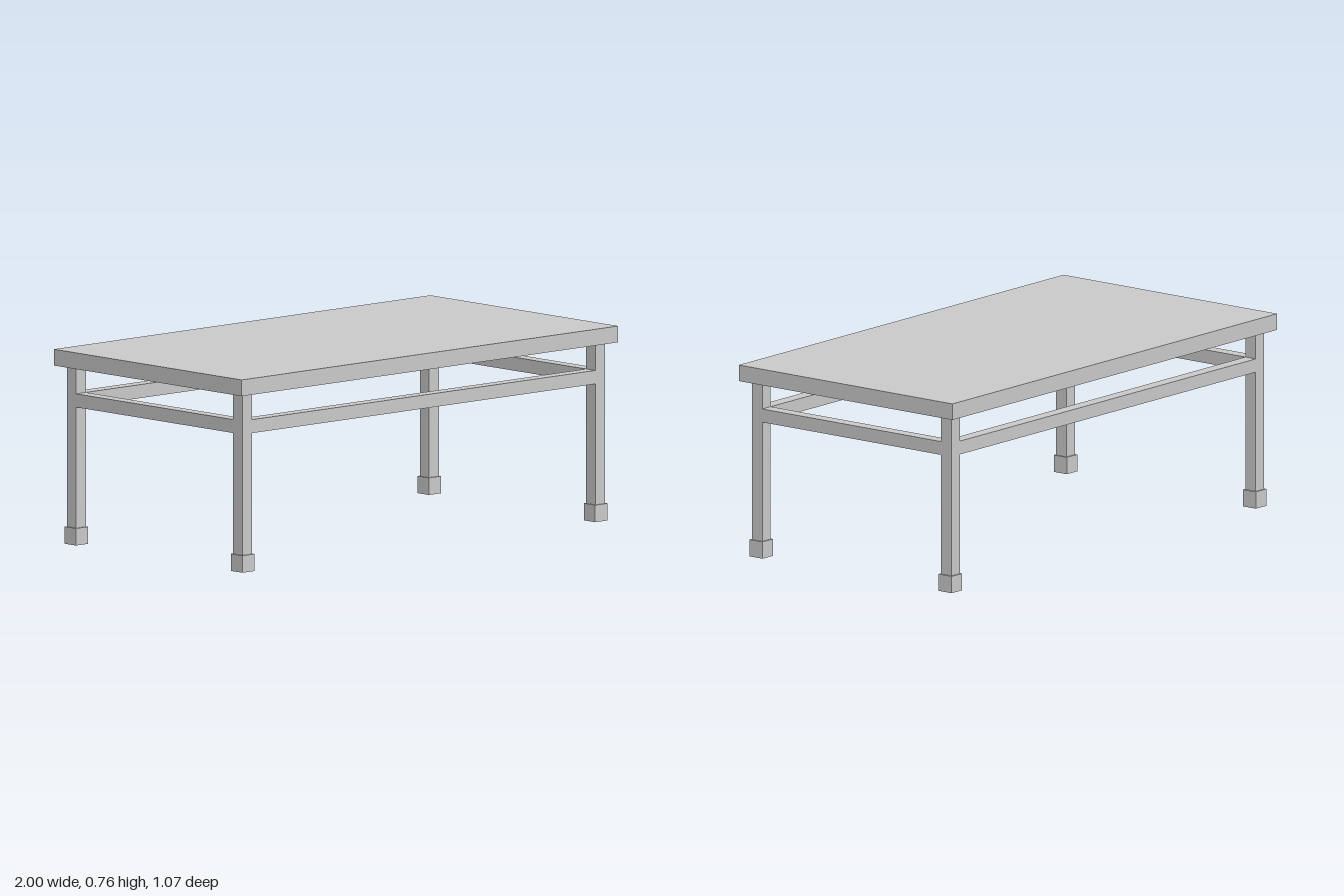
import * as THREE from 'three';

export function createModel() {
  const table = new THREE.Group();
  table.name = 'table';
  const material = new THREE.MeshStandardMaterial({ color: 0xcccccc, flatShading: true });

  // Box resting at height y, centred on x and z
  function addBox(parent, name, w, h, d, x, y, z) {
    const mesh = new THREE.Mesh(new THREE.BoxGeometry(w, h, d), material);
    mesh.name = name;
    mesh.position.set(x, y + h / 2, z);
    parent.add(mesh);
  }

  const legX = 0.937, legZ = 0.472;
  const legWidth = 0.052, footWidth = 0.065, footHeight = 0.067;
  const topBottom = 0.699, topHeight = 0.064;
  const railY = 0.541, railHeight = 0.053;

  // Slab top
  addBox(table, 'tableTop', 2, topHeight, 1.066, 0, topBottom, 0);

  // Four square legs on wider block feet
  for (const [endName, sz] of [['front', 1], ['back', -1]]) {
    for (const [sideName, sx] of [['Left', 1], ['Right', -1]]) {
      const leg = new THREE.Group();
      leg.name = `${endName}${sideName}Leg`;
      leg.position.set(sx * legX, 0, sz * legZ);
      addBox(leg, 'post', legWidth, topBottom - footHeight, legWidth, 0, footHeight, 0);
      addBox(leg, 'foot', footWidth, footHeight, footWidth, 0, 0, 0);
      table.add(leg);
    }
  }

  // Rails running between the legs, flush with their faces
  for (const s of [1, -1]) {
    addBox(table, s > 0 ? 'frontRail' : 'backRail',
      2 * legX - legWidth, railHeight, legWidth, 0, railY, s * legZ);
    addBox(table, s > 0 ? 'leftRail' : 'rightRail',
      legWidth, railHeight, 2 * legZ - legWidth, s * legX, railY, 0);
  }

  return table;
}
